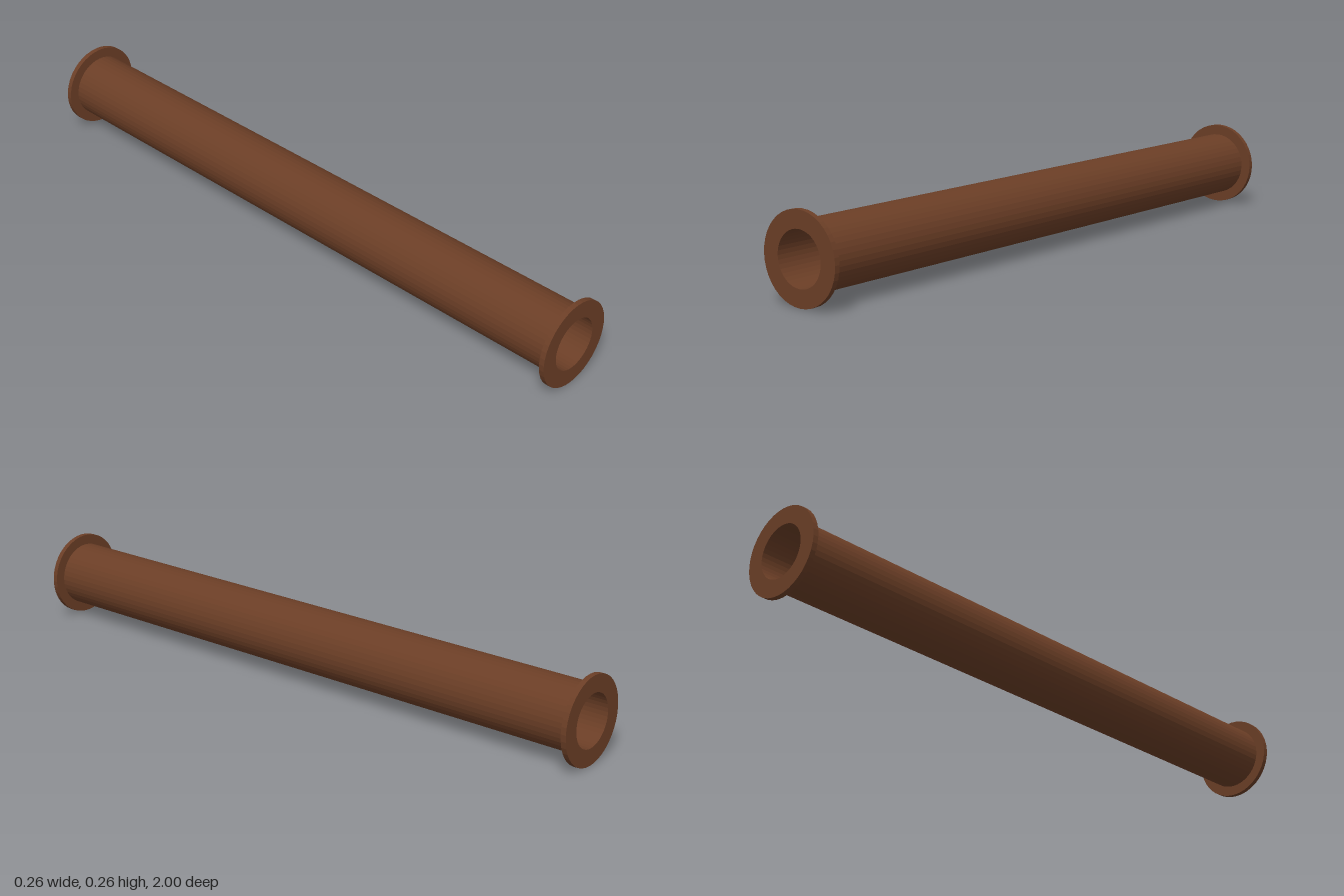
import * as THREE from 'three';

const SIDES = 40;
const BORE = 0.08, PIPE = 0.1, FLANGE = 0.132;
const HALF = 1, THICK = 0.016;

export function createModel() {
  const group = new THREE.Group();
  group.name = 'flangedPipe';
  const rust = new THREE.MeshStandardMaterial({ color: 0x6b3e26, flatShading: true });
  rust.name = 'rust brown';

  // Revolves a profile of [radius, z] points around the pipe's axis
  const addRing = (name, profile) => {
    const points = profile.map(([r, z]) => new THREE.Vector2(r, z));
    const geometry = new THREE.LatheGeometry(points, SIDES).rotateX(Math.PI / 2);
    const mesh = new THREE.Mesh(geometry, rust);
    mesh.name = name;
    mesh.position.y = FLANGE;
    group.add(mesh);
  };

  // Long barrel: outer wall and bore
  const end = HALF - THICK;
  addRing('outerWall', [[PIPE, -end], [PIPE, end]]);
  addRing('bore', [[BORE, end], [BORE, -end]]);

  // Flat flange at each end, open in the middle
  for (const [name, a, b] of [['frontFlange', end, HALF], ['backFlange', -HALF, -end]]) {
    addRing(name, [[BORE, a], [FLANGE, a], [FLANGE, b], [BORE, b], [BORE, a]]);
  }

  // Bulkhead that closes the bore halfway along
  addRing('bulkhead', [[0, -0.004], [BORE, -0.004], [BORE, 0.004], [0, 0.004]]);

  return group;
}
